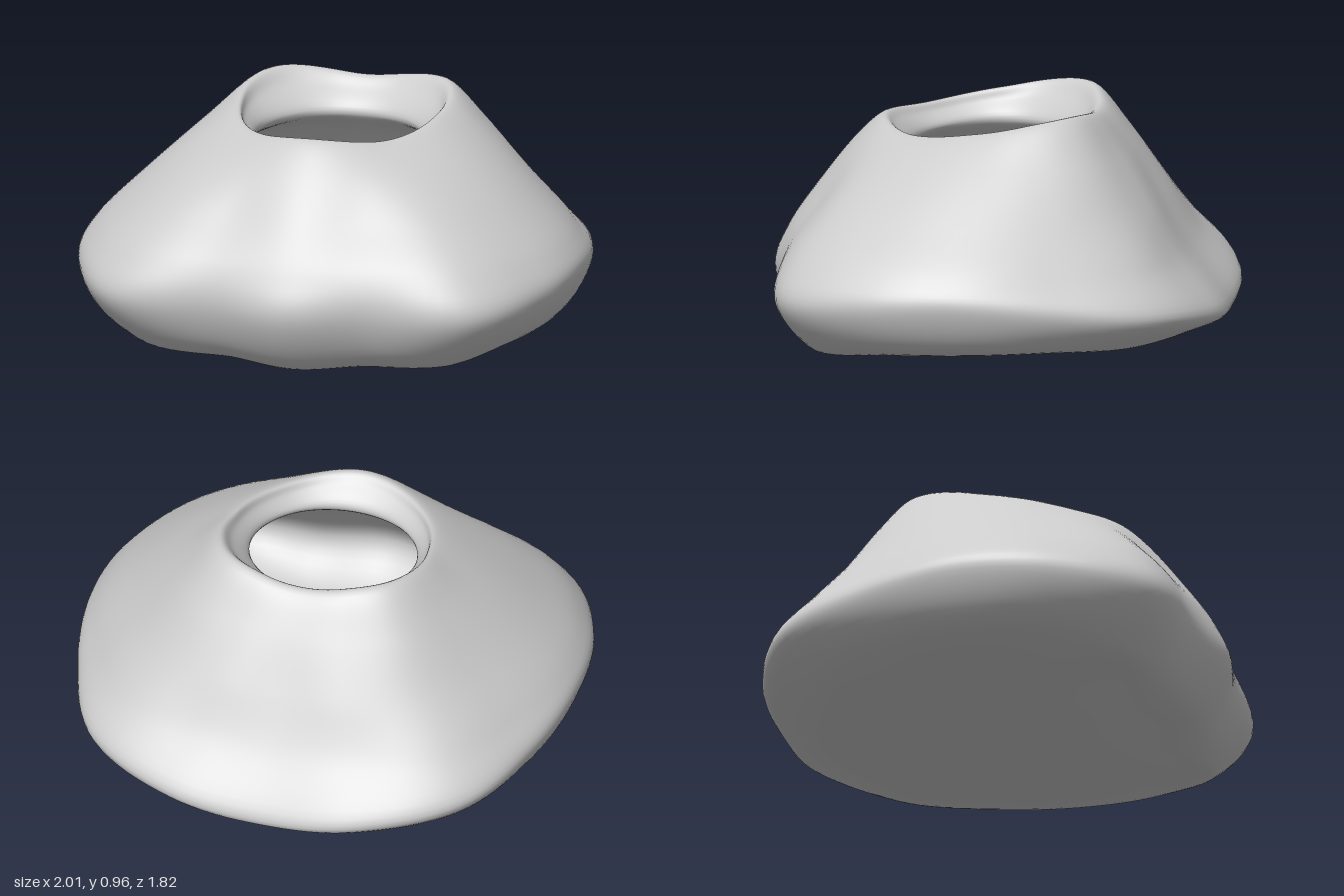
import * as THREE from 'three';

const CZ = 0.06;      // z of the opening's axis
const AROUND = 128;   // segments round the axis
const STEPS = 7;      // segments between neighbouring rings

// Smooth interpolation through four neighbours
function spline(a, b, c, d, t) {
  return b + 0.5 * t * (c - a + t * (2 * a - 5 * b + 4 * c - d + t * (3 * (b - c) + d - a)));
}

// Samples values spread evenly from front (0) to back (1), mirrored at both ends
function sample(values, f) {
  const n = values.length - 1;
  const at = (i) => values[i < 0 ? -i : i > n ? 2 * n - i : i];
  const s = f * n, i = Math.min(Math.floor(s), n - 1);
  return spline(at(i - 1), at(i), at(i + 1), at(i + 2), s - i);
}

// Each ring: radii and heights, both running from front round the side to the back
const ring = (radii, heights) => ({ radii, heights });
const scaled = (r, k, heights) => ring(r.radii.map((v) => v * k), heights);
const flat = (radius, height) => ring([radius, radius], [height, height]);

function makeRings() {
  const under = ring([0.74, 0.75, 0.92, 0.91, 0.89, 0.9, 0.95, 0.92, 0.9], [0.05, 0.1, 0.13, 0.14, 0.11]);
  const widest = ring([0.85, 0.85, 1.04, 1.03, 1.0, 1.01, 1.07, 1.02, 0.96], [0.25, 0.27, 0.31, 0.26, 0.18]);
  const belly = ring([0.8, 0.82, 0.96, 0.97, 0.955, 0.93, 0.94, 0.85, 0.8], [0.42, 0.43, 0.43, 0.42, 0.39]);
  const waist = ring([0.68, 0.68, 0.78, 0.79, 0.79, 0.78, 0.78, 0.72, 0.67], [0.6, 0.6, 0.6, 0.6, 0.6]);
  const shoulder = ring([0.54, 0.54, 0.57, 0.58, 0.59, 0.61, 0.63, 0.58, 0.55], [0.78, 0.76, 0.78, 0.8, 0.79]);
  const rim = ring([0.43, 0.42, 0.41, 0.41, 0.42, 0.46, 0.49, 0.46, 0.44], [0.88, 0.86, 0.9, 0.955, 0.92]);
  const lip = ring([0.375, 0.37, 0.37, 0.37, 0.38, 0.4, 0.41, 0.39, 0.375], [0.85, 0.83, 0.86, 0.9, 0.88]);
  const neck = ring([0.31, 0.325, 0.335, 0.32, 0.31], [0.77, 0.77, 0.78, 0.79, 0.79]);
  return [
    // underside
    flat(0, 0.09),
    flat(0.3, 0.085),
    ring([0.58, 0.57, 0.76, 0.65, 0.62, 0.65, 0.75, 0.72, 0.72], [0.005, 0.035, 0.08, 0.08, 0.075]),
    // outer wall
    under, widest, belly, waist, shoulder, rim,
    // opening and hollow inside
    lip, neck,
    scaled(shoulder, 0.76, [0.69, 0.69, 0.69, 0.7, 0.7]),
    scaled(waist, 0.84, [0.54, 0.54, 0.54, 0.54, 0.54]),
    scaled(widest, 0.86, [0.32, 0.33, 0.35, 0.32, 0.28]),
    scaled(under, 0.76, [0.15, 0.18, 0.2, 0.2, 0.18]),
    flat(0.3, 0.17),
    flat(0, 0.17),
  ];
}

// Lofts a smooth closed skin through the rings
function loft(rings) {
  const positions = [], index = [];
  const last = rings.length - 1, rows = last * STEPS;
  const at = (i) => rings[Math.max(0, Math.min(last, i))];
  for (let row = 0; row <= rows; row++) {
    const k = Math.min(Math.floor(row / STEPS), last - 1);
    const t = row / STEPS - k;
    const four = [at(k - 1), at(k), at(k + 1), at(k + 2)];
    for (let j = 0; j < AROUND; j++) {
      const u = (2 * j) / AROUND;
      const f = u > 1 ? 2 - u : u;
      const r = Math.max(0, spline(...four.map((g) => sample(g.radii, f)), t));
      const y = Math.max(0, spline(...four.map((g) => sample(g.heights, f)), t));
      positions.push(r * Math.sin(u * Math.PI), y, CZ + r * Math.cos(u * Math.PI));
      if (row < rows) {
        const a = row * AROUND + j, b = row * AROUND + ((j + 1) % AROUND);
        index.push(a, b, b + AROUND, a, b + AROUND, a + AROUND);
      }
    }
  }
  const geometry = new THREE.BufferGeometry();
  geometry.setAttribute('position', new THREE.Float32BufferAttribute(positions, 3));
  geometry.setIndex(index);
  geometry.computeVertexNormals();
  return geometry;
}

export function createModel() {
  const group = new THREE.Group();
  group.name = 'hollowBody';
  const material = new THREE.MeshStandardMaterial({ color: 0xcccccc });
  const body = new THREE.Mesh(loft(makeRings()), material);
  body.name = 'bodyShell';
  group.add(body);
  return group;
}
